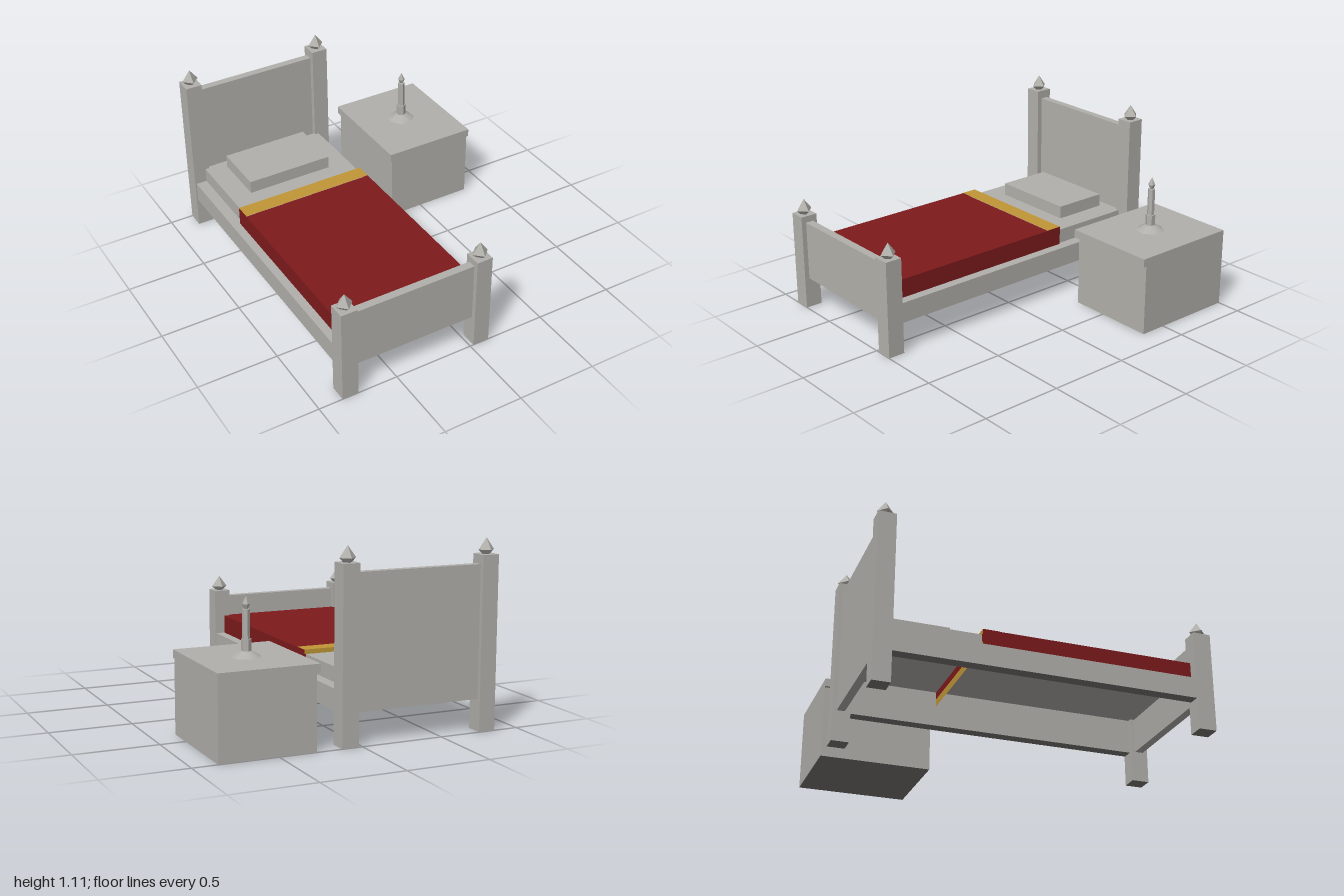
import * as THREE from 'three';

export function createModel() {
  const model = new THREE.Group();
  const mat = (name, color) => {
    const m = new THREE.MeshStandardMaterial({ color, side: THREE.DoubleSide });
    m.name = name;
    return m;
  };
  const grey = mat('grey', 0xb2b0ab);
  const dark = mat('dark grey', 0x777572);
  const red = mat('dark red', 0x7e1a1c);
  const gold = mat('gold', 0xc09636);
  // Grey box sides with a darker underside
  const darkBase = [grey, grey, grey, dark, grey, grey];

  const add = (name, geometry, material, parent) => {
    const mesh = new THREE.Mesh(geometry, material);
    mesh.name = name;
    parent.add(mesh);
    return mesh;
  };
  // Box given by its lower and upper limits on each axis
  const box = (name, [x0, x1], [y0, y1], [z0, z1], material, parent) => {
    const mesh = add(name, new THREE.BoxGeometry(x1 - x0, y1 - y0, z1 - z0), material, parent);
    mesh.position.set((x0 + x1) / 2, (y0 + y1) / 2, (z0 + z1) / 2);
    return mesh;
  };
  // Open box that keeps only the listed faces
  const faceNames = ['left', 'right', 'top', 'bottom', 'front', 'back'];
  const shell = (name, x, y, z, keep, material, parent) => {
    const { geometry } = box(name, x, y, z, material, parent);
    const index = Array.from(geometry.index.array);
    geometry.setIndex(index.filter((_, i) => keep.includes(faceNames[Math.floor(i / 6)])));
    geometry.clearGroups();
  };
  // Turned shape from [radius, height] points
  const lathe = (points, sides, start = 0) =>
    new THREE.LatheGeometry(points.map(([r, y]) => new THREE.Vector2(r, y)), sides, start);
  // The same with flat facets
  const faceted = (points, sides) => {
    const geometry = lathe(points, sides).toNonIndexed();
    geometry.computeVertexNormals();
    return geometry;
  };

  // Bed frame
  const bed = new THREE.Group();
  bed.name = 'bed';
  model.add(bed);
  for (const [z, h] of [[-0.947, 1.02], [0.947, 0.6]]) {
    for (const x of [-0.8, 0.074]) {
      box('post', [x - 0.051, x + 0.051], [0, h], [z - 0.053, z + 0.053], darkBase, bed);
      const profile = [[0, h], [0.025, h], [0.051, h + 0.025], [0, h + 0.093]];
      add('finial', faceted(profile, 4), grey, bed).position.set(x, 0, z);
    }
  }
  box('headboard', [-0.76, 0.03], [0.19, 0.967], [-0.975, -0.927], grey, bed);
  box('footboard', [-0.76, 0.03], [0.19, 0.56], [0.92, 0.97], grey, bed);
  for (const x of [-0.842, 0.048]) {
    box('sideRail', [x, x + 0.07], [0.19, 0.315], [-0.91, 0.92], darkBase, bed);
  }

  // Bedding, hollow underneath
  const cover = [-0.79, 0.06], foldZ = [-0.37, -0.27];
  shell('mattress', [-0.773, 0.049], [0.312, 0.405], [-0.91, 0.925],
    ['left', 'right', 'top', 'back'], grey, bed);
  box('pillow', [-0.64, -0.088], [0.405, 0.485], [-0.853, -0.51], grey, bed);
  shell('blanket', cover, [0.312, 0.43], [-0.27, 0.925], ['left', 'right', 'top'], red, bed);
  shell('blanketSides', cover, [0.312, 0.432], foldZ, ['left', 'right'], red, bed);
  shell('blanketFold', cover, [0.405, 0.432], foldZ, ['top', 'back'], gold, bed);
  shell('blanketEnd', cover, [0.36, 0.405], foldZ, ['back'], red, bed);
  shell('foldEnd', cover, [0.312, 0.36], foldZ, ['back'], gold, bed);

  // Nightstand
  const stand = new THREE.Group();
  stand.name = 'nightstand';
  model.add(stand);
  box('cabinet', [0.278, 0.85], [0, 0.44], [-1, -0.333], darkBase, stand);
  box('standTop', [0.257, 0.85], [0.44, 0.49], [-1, -0.313], grey, stand);

  // Candle
  const candle = new THREE.Group();
  candle.name = 'candle';
  candle.position.set(0.55, 0, -0.667);
  model.add(candle);
  add('candleDish', lathe([[0.088, 0.49], [0.028, 0.525]], 7, 0.3), grey, candle);
  add('candleSocket', faceted([[0.03, 0.515], [0.03, 0.59], [0, 0.59]], 6), grey, candle);
  add('candleStick', faceted([[0.022, 0.59], [0.022, 0.755], [0, 0.755]], 6), grey, candle);
  add('flame', faceted([[0, 0.755], [0.01, 0.757], [0.022, 0.783], [0, 0.83]], 6), grey, candle);

  return model;
}
